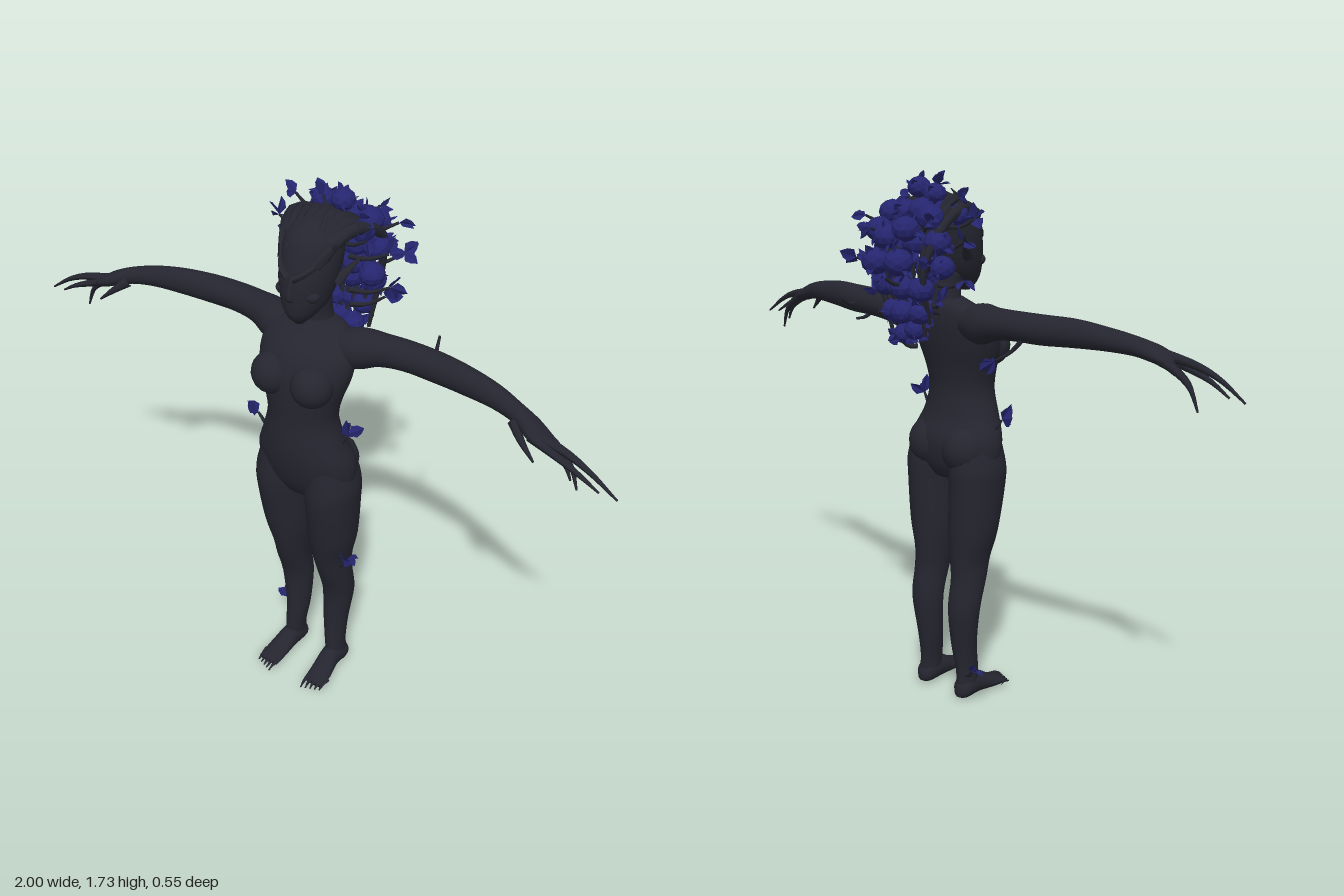
import * as THREE from 'three';
import { mergeGeometries } from 'three/addons/utils/BufferGeometryUtils.js';

const V = (a) => new THREE.Vector3(...a);
const UP = new THREE.Vector3(0, 1, 0);
const smoothCurve = (pts) => new THREE.CatmullRomCurve3(pts, false, 'catmullrom', 0.5);

// Skin over elliptical sections [t, u, v, ru, rv] along an axis, t increasing; side -1 mirrors in x
function loft(axis, rows, side = 1, n = 20, sub = 4) {
  const mid = smoothCurve(rows.map((r) => V(r.slice(0, 3))));
  const rad = smoothCurve(rows.map((r) => new THREE.Vector3(r[3], r[4], 0)));
  const m = (rows.length - 1) * sub;
  const pos = [], idx = [];
  const put = (t, u, v) => {
    const [x, y, z] = axis === 'x' ? [t, u, v] : axis === 'y' ? [u, t, v] : [u, v, t];
    pos.push(x * side, y, z);
  };
  const flip = (axis === 'y') !== (side < 0);
  const tri = (a, b, c) => (flip ? idx.push(a, c, b) : idx.push(a, b, c));
  for (let i = 0; i <= m; i++) {
    const c = mid.getPoint(i / m), r = rad.getPoint(i / m);
    for (let j = 0; j < n; j++) {
      const a = (j / n) * Math.PI * 2;
      put(c.x, c.y + Math.max(r.x, 0.001) * Math.cos(a), c.z + Math.max(r.y, 0.001) * Math.sin(a));
    }
  }
  put(...rows[0]);
  put(...rows[rows.length - 1]);
  const first = (m + 1) * n;
  for (let j = 0; j < n; j++) {
    const k = (j + 1) % n;
    for (let i = 0; i < m; i++) {
      const a = i * n + j, b = i * n + k;
      tri(a, b, b + n);
      tri(a, b + n, a + n);
    }
    tri(first, k, j);
    tri(first + 1, m * n + j, m * n + k);
  }
  const g = new THREE.BufferGeometry();
  g.setAttribute('position', new THREE.Float32BufferAttribute(pos, 3));
  g.setIndex(idx);
  g.computeVertexNormals();
  return g;
}

// Tube along points, thinning from r0 to r1
function taper(points, r0, r1 = 0.001, sides = 7, steps = 10) {
  const curve = new THREE.CatmullRomCurve3(points.map(V));
  const g = new THREE.TubeGeometry(curve, steps, 1, sides);
  const p = g.attributes.position, v = new THREE.Vector3();
  for (let i = 0; i < p.count; i++) {
    const t = Math.floor(i / (sides + 1)) / steps, c = curve.getPointAt(t);
    v.fromBufferAttribute(p, i).sub(c).multiplyScalar(r0 + (r1 - r0) * t).add(c);
    p.setXYZ(i, v.x, v.y, v.z);
  }
  g.computeVertexNormals();
  return g;
}

function ball(x, y, z, rx, ry, rz) {
  return new THREE.SphereGeometry(1, 18, 12).scale(rx, ry, rz).translate(x, y, z);
}

// Leaf folded along its middle, growing along dir
function leaf(at, dir, spin, len) {
  const w = len * 0.36, f = len * 0.12;
  const a = [0, 0, 0], b = [0, len, 0], l1 = [-w, len * 0.35, f], r1 = [w, len * 0.35, f];
  const l2 = [-w * 0.7, len * 0.7, f], r2 = [w * 0.7, len * 0.7, f];
  const g = new THREE.BufferGeometry();
  const tris = [a, b, l2, a, l2, l1, a, r2, b, a, r1, r2];
  g.setAttribute('position', new THREE.Float32BufferAttribute(tris.flat(), 3));
  g.computeVertexNormals();
  g.rotateY(spin);
  g.applyQuaternion(new THREE.Quaternion().setFromUnitVectors(UP, dir.clone().normalize()));
  return g.translate(at.x, at.y, at.z);
}

export function createModel() {
  const model = new THREE.Group();
  const bark = new THREE.MeshStandardMaterial({ color: 0x24252f });
  bark.name = 'darkBark';
  const blue = new THREE.MeshStandardMaterial({ color: 0x25256f, side: THREE.DoubleSide, flatShading: true });
  blue.name = 'blueLeaf';
  const add = (name, geo, mat = bark) => {
    const mesh = new THREE.Mesh(geo, mat);
    mesh.name = name;
    model.add(mesh);
  };
  let seed = 11;
  const rnd = () => (seed = (seed * 16807) % 2147483647) / 2147483647;
  const jit = (s) => (rnd() - 0.5) * 2 * s;

  // Torso and neck
  add('torso', loft('y', [
    [0.77, 0, 0.115, 0.09, 0.07], [0.82, 0, 0.115, 0.16, 0.095], [0.9, 0, 0.12, 0.166, 0.108],
    [0.97, 0, 0.135, 0.138, 0.098], [1.05, 0, 0.138, 0.115, 0.09], [1.12, 0, 0.134, 0.126, 0.094],
    [1.2, 0, 0.122, 0.152, 0.1], [1.27, 0, 0.102, 0.155, 0.092], [1.32, 0, 0.075, 0.125, 0.066],
    [1.35, 0, 0.065, 0.06, 0.045]], 1, 28));
  add('neck', loft('y', [[1.3, 0, 0.06, 0.07, 0.055], [1.36, 0, 0.062, 0.048, 0.045],
    [1.44, 0, 0.075, 0.05, 0.05]]));

  // Head with jaw, nose, brows and pointed bark crest
  add('head', loft('y', [
    [1.362, 0, 0.15, 0.014, 0.014], [1.39, 0, 0.138, 0.042, 0.05], [1.43, 0, 0.115, 0.068, 0.08],
    [1.5, 0, 0.098, 0.085, 0.094], [1.57, 0, 0.08, 0.088, 0.093], [1.62, 0, 0.068, 0.074, 0.08],
    [1.655, 0, 0.055, 0.03, 0.035]], 1, 24));
  add('nose', loft('y', [[1.445, 0, 0.19, 0.011, 0.009], [1.46, 0, 0.19, 0.014, 0.016],
    [1.5, 0, 0.185, 0.01, 0.011], [1.54, 0, 0.172, 0.007, 0.006]], 1, 10));
  add('lips', ball(0, 1.42, 0.178, 0.026, 0.009, 0.016));

  for (const s of [1, -1]) {
    const side = s > 0 ? 'left' : 'right';
    const T = (pts, ...rest) => taper(pts.map(([x, y, z]) => [x * s, y, z]), ...rest);

    add(side + 'Brow', T([[0.008, 1.515, 0.19], [0.04, 1.535, 0.175], [0.08, 1.575, 0.115]], 0.012, 0.005));
    add(side + 'Cheekbone', ball(s * 0.045, 1.46, 0.155, 0.028, 0.02, 0.022));
    add(side + 'Horn', T([[0.05, 1.55, 0.14], [0.08, 1.59, 0.11], [0.113, 1.632, 0.07]], 0.024));
    add(side + 'Ear', T([[0.075, 1.48, 0.08], [0.095, 1.51, 0.05], [0.125, 1.55, 0.01]], 0.02));
    add(side + 'CrestSpike', T([[0.03, 1.58, 0.145], [0.04, 1.63, 0.1], [0.03, 1.68, 0.05]], 0.022));
    add(side + 'Breast', ball(s * 0.07, 1.19, 0.19, 0.066, 0.066, 0.064));
    add(side + 'Buttock', ball(s * 0.072, 0.87, 0.085, 0.08, 0.085, 0.085));

    // Arm and long clawed fingers
    add(side + 'Arm', loft('x', [
      [0.07, 1.28, 0.075, 0.045, 0.045], [0.15, 1.283, 0.065, 0.063, 0.062], [0.22, 1.293, 0.05, 0.05, 0.05],
      [0.3, 1.299, 0.045, 0.045, 0.045], [0.4, 1.3, 0.05, 0.045, 0.042], [0.5, 1.302, 0.066, 0.042, 0.037],
      [0.6, 1.297, 0.083, 0.034, 0.033], [0.68, 1.286, 0.106, 0.028, 0.03], [0.74, 1.268, 0.127, 0.024, 0.04],
      [0.79, 1.25, 0.137, 0.013, 0.033]], s));
    const fingers = [
      [[0.74, 1.27, 0.14], [0.85, 1.25, 0.15], [0.92, 1.222, 0.156], [1.0, 1.17, 0.157]],
      [[0.74, 1.265, 0.15], [0.82, 1.238, 0.158], [0.89, 1.21, 0.163], [0.95, 1.175, 0.16]],
      [[0.74, 1.265, 0.11], [0.8, 1.238, 0.115], [0.85, 1.195, 0.12], [0.877, 1.13, 0.125]],
      [[0.74, 1.262, 0.125], [0.8, 1.232, 0.13], [0.84, 1.2, 0.133], [0.86, 1.16, 0.135]],
      [[0.68, 1.275, 0.13], [0.72, 1.245, 0.16], [0.768, 1.205, 0.176]]];
    fingers.forEach((f, i) => add(`${side}Finger${i + 1}`, T(f, 0.017, 0.003)));

    // Leg, foot and pointed toes
    add(side + 'Leg', loft('y', [
      [0.03, 0.087, 0.08, 0.033, 0.042], [0.1, 0.083, 0.085, 0.032, 0.042], [0.2, 0.078, 0.074, 0.041, 0.045],
      [0.33, 0.083, 0.067, 0.053, 0.053], [0.43, 0.083, 0.088, 0.055, 0.062], [0.5, 0.08, 0.097, 0.06, 0.072],
      [0.6, 0.086, 0.105, 0.077, 0.086], [0.75, 0.092, 0.114, 0.083, 0.1], [0.82, 0.092, 0.114, 0.083, 0.1],
      [0.92, 0.085, 0.115, 0.06, 0.085]], s, 22));
    add(side + 'Foot', loft('z', [
      [0.036, 0.086, 0.035, 0.014, 0.018], [0.06, 0.086, 0.043, 0.034, 0.036], [0.12, 0.086, 0.048, 0.034, 0.04],
      [0.18, 0.092, 0.032, 0.038, 0.024], [0.235, 0.095, 0.021, 0.038, 0.011]], s));
    for (let i = 0; i < 5; i++) {
      const x = 0.066 + i * 0.015, z = 0.272 - i * 0.006;
      add(`${side}Toe${i + 1}`, T([[x, 0.025, 0.2], [x, 0.024, z - 0.025], [x + 0.002, 0.014, z]], 0.012, 0.002, 6, 6));
    }
  }

  // Branches sweeping from the crown into a tail
  for (let i = 0; i < 9; i++) {
    const x = (i - 4) * 0.02;
    add('hairBranch' + (i + 1), taper([[x * 0.9, 1.6, 0.11], [x * 1.3, 1.655 - x * x * 4, 0.03],
      [x * 1.5, 1.58, -0.08], [x * 1.3, 1.46, -0.11 + jit(0.03)], [x, 1.3 + jit(0.05), -0.09]], 0.022, 0.006, 7, 16));
  }

  // Blossom clusters in rows: [y, z, half width, count, radius]
  const blossoms = [];
  const blossomRows = [
    [1.675, -0.03, 0.035, 2, 0.036], [1.62, -0.08, 0.085, 4, 0.042], [1.6, -0.01, 0.1, 2, 0.036],
    [1.565, -0.175, 0.055, 3, 0.042], [1.53, -0.09, 0.11, 4, 0.043], [1.475, -0.19, 0.04, 2, 0.045],
    [1.46, -0.06, 0.11, 4, 0.04], [1.4, -0.13, 0.075, 3, 0.042], [1.33, -0.11, 0.05, 3, 0.04],
    [1.26, -0.1, 0.022, 2, 0.036]];
  for (const [y, z, w, n, r] of blossomRows) {
    for (let i = 0; i < n; i++) {
      const c = new THREE.Vector3((i / (n - 1) * 2 - 1) * w, y + jit(0.014), z + jit(0.014));
      const g = new THREE.IcosahedronGeometry(r, 1).scale(1, 0.9, 1).rotateY(rnd() * 6);
      g.deleteAttribute('uv');
      blossoms.push(g.translate(c.x, c.y, c.z));
      for (let k = 0; k < 6; k++) {
        const d = new THREE.Vector3(jit(1), jit(1) - 0.2, jit(1)).normalize();
        blossoms.push(leaf(c.clone().addScaledVector(d, r * 0.6), d, rnd() * 6, r * 0.85));
      }
    }
  }
  add('blossoms', mergeGeometries(blossoms), blue);

  // Twigs with leaves at the tip: [name, root, tip, leaf count, leaf length]
  const sprigs = [
    ['leftHip', [0.1, 0.95, 0.12], [0.15, 1.01, 0.12], 4, 0.055],
    ['rightHip', [-0.12, 0.93, 0.13], [-0.175, 0.975, 0.135], 4, 0.055],
    ['leftKnee', [0.11, 0.48, 0.12], [0.165, 0.545, 0.15], 4, 0.055],
    ['rightAnkle', [-0.1, 0.1, 0.06], [-0.15, 0.135, 0.035], 2, 0.05],
    ['rightArm', [-0.35, 1.28, 0.03], [-0.27, 1.2, -0.01], 4, 0.055],
    ['leftArm', [0.37, 1.29, 0.03], [0.335, 1.32, -0.07], 0, 0],
    ['leftArmLower', [0.3, 1.28, 0.04], [0.345, 1.245, 0.0], 0, 0],
  ];
  const hairTips = [
    [-0.13, 1.66, -0.02], [0.1, 1.65, 0], [-0.02, 1.69, 0.0], [-0.17, 1.54, -0.04], [0.17, 1.54, -0.05],
    [-0.18, 1.43, -0.05], [0.17, 1.43, -0.06], [0.15, 1.6, -0.13], [-0.13, 1.6, -0.15], [0.14, 1.48, -0.18],
    [-0.14, 1.48, -0.15], [0.02, 1.58, -0.23], [-0.02, 1.44, -0.22], [0.13, 1.37, -0.1], [-0.13, 1.37, -0.09],
    [0.03, 1.24, -0.11], [-0.16, 1.6, 0.02], [0.14, 1.6, 0.02]];
  hairTips.forEach((t, i) => sprigs.push(['hair' + (i + 1), [t[0] * 0.3, t[1] - 0.03, t[2] * 0.5], t, 3, 0.05]));
  for (const [name, root, tip, n, len] of sprigs) {
    const a = V(root), b = V(tip), dir = b.clone().sub(a).normalize();
    const mid = a.clone().lerp(b, 0.5).add(new THREE.Vector3(0, -0.012, 0));
    add(name + 'Twig', taper([root, mid.toArray(), tip], 0.009, 0.004, 5, 6));
    const leaves = [];
    for (let k = 0; k < n; k++) {
      const d = dir.clone().add(new THREE.Vector3(jit(1), jit(1), jit(0.8)));
      leaves.push(leaf(b, d, rnd() * 6, len * (0.85 + rnd() * 0.3)));
    }
    if (n) add(name + 'Leaves', mergeGeometries(leaves), blue);
  }
  return model;
}
